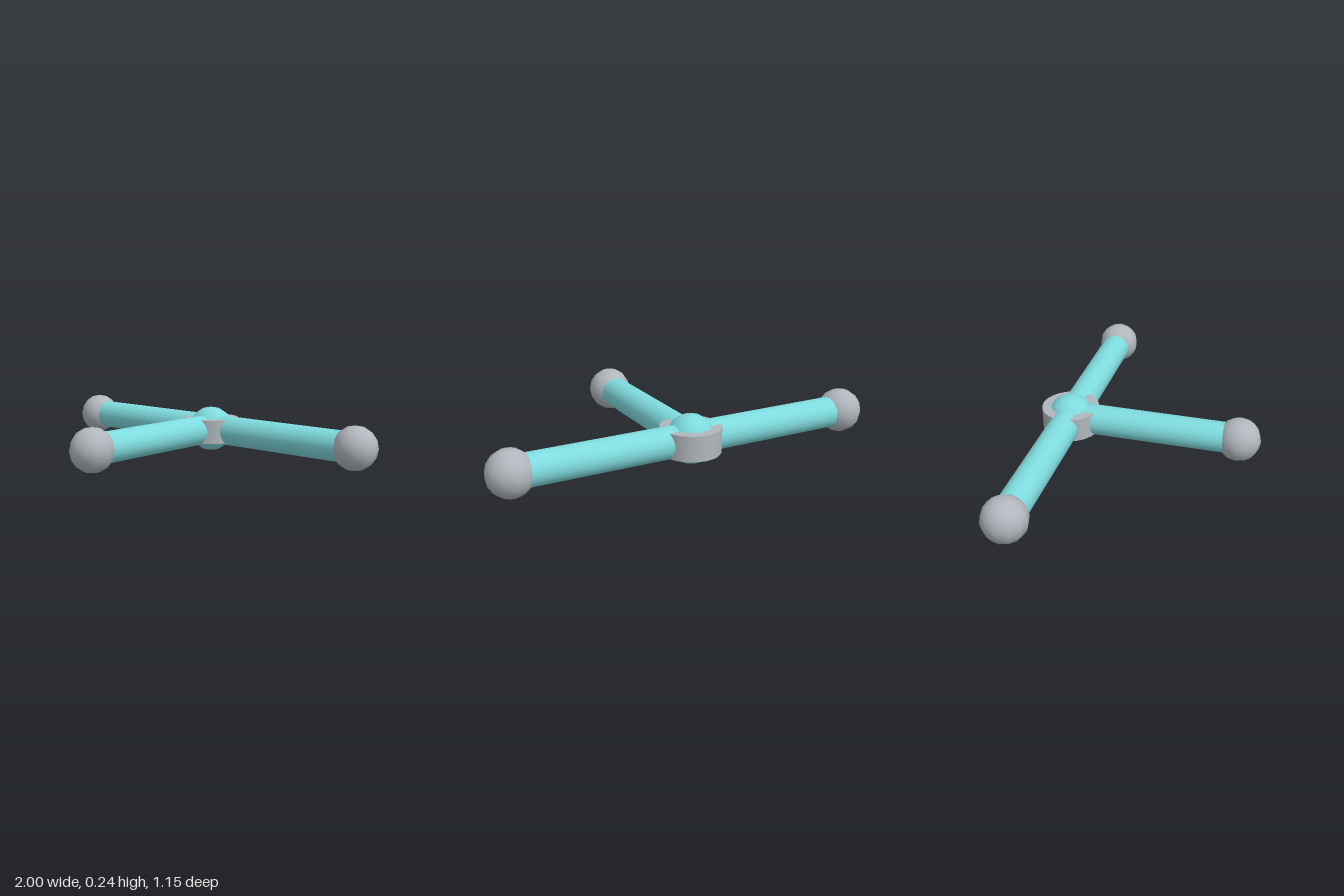
import * as THREE from 'three';

const Y = 0.123, BACK = -0.425, FRONT = 0.463, SIDE = 0.89;

export function createModel() {
  const model = new THREE.Group();
  const teal = new THREE.MeshStandardMaterial({ color: 0x7fdbde });
  teal.name = 'teal';
  const grey = new THREE.MeshStandardMaterial({ color: 0xb1b7bd });
  grey.name = 'grey';

  const add = (name, geometry, material, x, z) => {
    const mesh = new THREE.Mesh(geometry, material);
    mesh.name = name;
    mesh.position.set(x, Y, z);
    model.add(mesh);
    return mesh;
  };

  // Crossbar along x and stem along z
  add('crossbar', new THREE.CylinderGeometry(0.078, 0.078, SIDE * 2, 24), teal, 0, BACK)
    .rotation.z = Math.PI / 2;
  add('stem', new THREE.CylinderGeometry(0.078, 0.078, FRONT - BACK, 24), teal, 0, (FRONT + BACK) / 2)
    .rotation.x = Math.PI / 2;

  // Hub: a ball through a short collar
  add('hubBall', new THREE.SphereGeometry(0.12, 16, 8), teal, 0, BACK);
  add('hubCollar', new THREE.CylinderGeometry(0.148, 0.148, 0.125, 24), grey, 0, BACK);

  // Round end caps
  const cap = new THREE.SphereGeometry(0.111, 12, 8);
  add('leftEndBall', cap, grey, SIDE, BACK);
  add('rightEndBall', cap, grey, -SIDE, BACK);
  add('frontEndBall', cap, grey, 0, FRONT);

  return model;
}
